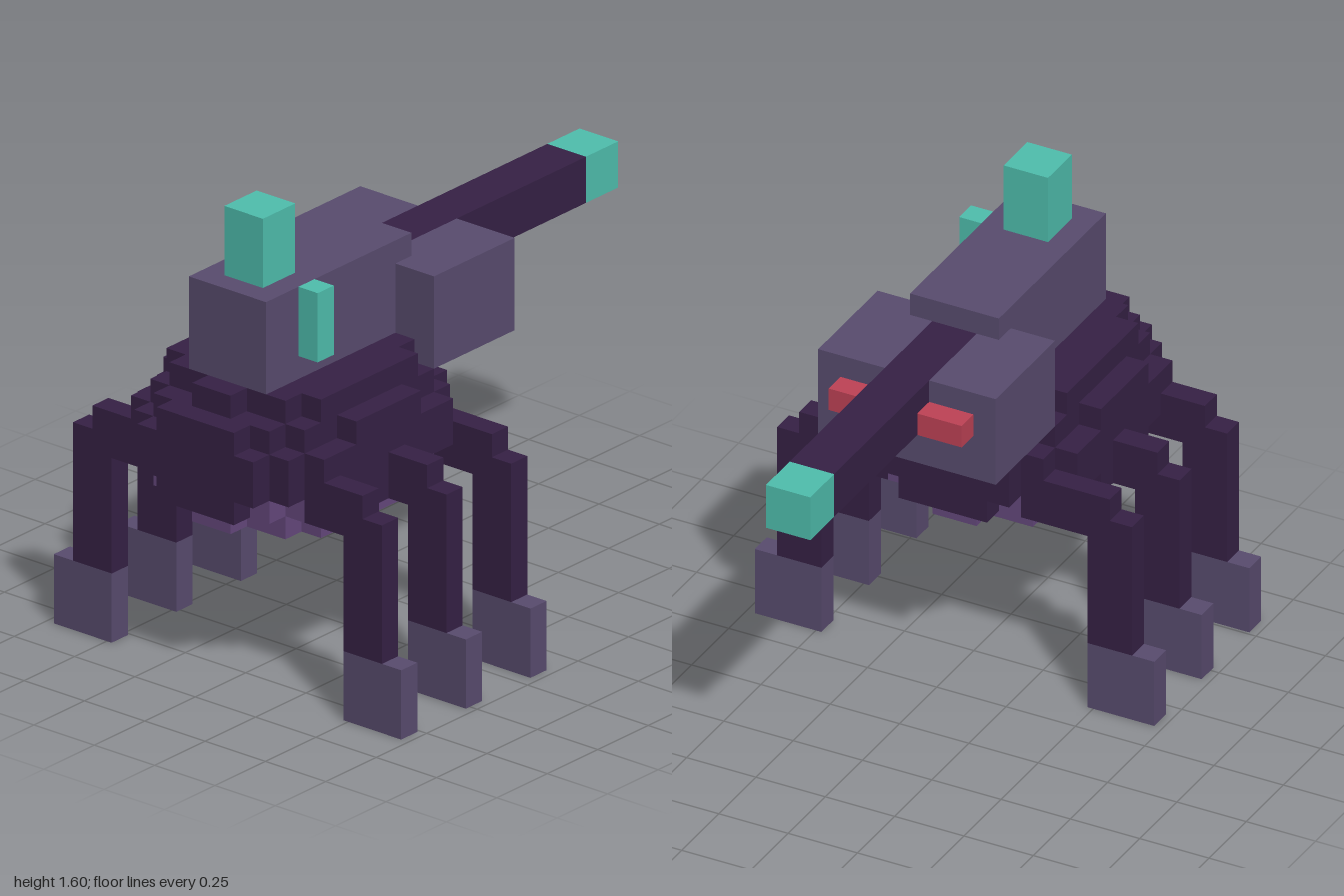
import * as THREE from 'three';

const mat = (name, color) => {
  const m = new THREE.MeshStandardMaterial({ color });
  m.name = name;
  return m;
};

export function createModel() {
  const model = new THREE.Group();
  model.name = 'blockWalker';
  const dark = mat('dark plum', 0x362145);
  const grey = mat('slate violet', 0x594c6f);
  const purple = mat('belly purple', 0x65487d);
  const teal = mat('teal', 0x4fbfae);
  const red = mat('red', 0xbf4256);

  // Box given by its minimum and maximum on each axis
  function box(parent, name, material, [x0, x1], [y0, y1], [z0, z1]) {
    const mesh = new THREE.Mesh(new THREE.BoxGeometry(x1 - x0, y1 - y0, z1 - z0), material);
    mesh.position.set((x0 + x1) / 2, (y0 + y1) / 2, (z0 + z1) / 2);
    mesh.name = name;
    parent.add(mesh);
  }
  function group(name) {
    const g = new THREE.Group();
    g.name = name;
    model.add(g);
    return g;
  }

  // Stepped oval body: each layer lists half widths, in blocks, from the middle row outwards
  const U = 0.08, bodyZ = 0.52;
  const body = group('body');
  function layer(name, material, y0, y1, widths) {
    let start = 0;
    widths.forEach((w, i) => {
      if (widths[i + 1] === w) return;
      const x = [-w * U, w * U], y = [y0, y1], a = start * U, b = (i + 1) * U;
      if (start === 0) {
        box(body, name, material, x, y, [bodyZ - b, bodyZ + b]);
      } else {
        box(body, name, material, x, y, [bodyZ + a, bodyZ + b]);
        box(body, name, material, x, y, [bodyZ - b, bodyZ - a]);
      }
      start = i + 1;
    });
  }
  layer('bellyBottom', purple, 0.56, 0.64, [4, 4, 4, 3, 1]);
  layer('bellyUpper', purple, 0.64, 0.72, [4, 4, 4, 4, 3]);
  layer('bodyMiddle', dark, 0.72, 0.88, [5, 5, 5, 5, 4, 3]);
  layer('bodyShoulder', dark, 0.88, 0.96, [5, 5, 4, 4, 3, 2]);
  layer('bodyTop', dark, 0.96, 1.04, [4, 4, 4, 3, 1]);

  // Dark lower rim around the belly
  for (const s of [-1, 1]) {
    const span = (a, b) => (s > 0 ? [a, b] : [-b, -a]);
    box(body, 'sideRim', dark, span(0.32, 0.4), [0.64, 0.72], [0.36, 0.68]);
    const [e0, e1] = span(0.4, 0.48);
    box(body, 'endRim', dark, [-0.16, 0.16], [0.64, 0.72], [bodyZ + e0, bodyZ + e1]);
  }

  // Six legs: back, middle and front pairs
  [[0.12, 0.24], [0.44, 0.32], [0.76, 0.32]].forEach(([z, hip]) => {
    for (const s of [-1, 1]) {
      const leg = group(s > 0 ? 'leftLeg' : 'rightLeg');
      const span = (a, b) => (s > 0 ? [a, b] : [-b, -a]);
      const depth = [z, z + U];
      box(leg, 'thigh', dark, span(hip, 0.56), [0.64, 0.8], depth);
      box(leg, 'knee', dark, span(0.56, 0.64), [0.64, 0.72], depth);
      box(leg, 'shin', dark, span(0.48, 0.64), [0.24, 0.64], depth);
      box(leg, 'foot', grey, span(0.48, 0.72), [0, 0.24], depth);
    }
  });

  // Turret: housing, and a rear block with a slot for the barrel
  const turret = group('turret');
  box(turret, 'housing', grey, [-0.16, 0.16], [1.04, 1.36], [0.12, 0.84]);
  box(turret, 'rearBlockBase', grey, [-0.32, 0.32], [0.96, 1.12], [-0.2, 0.2]);
  for (const s of [-1, 1]) {
    const span = (a, b) => (s > 0 ? [a, b] : [-b, -a]);
    box(turret, 'rearBlockCheek', grey, span(0.08, 0.32), [1.12, 1.28], [-0.2, 0.2]);
    box(turret, 'eye', red, span(0.08, 0.24), [1.12, 1.2], [-0.28, -0.2]);
  }
  box(turret, 'barrel', dark, [-0.08, 0.08], [1.12, 1.28], [-0.84, 0.12]);
  box(turret, 'barrelTip', teal, [-0.08, 0.08], [1.12, 1.28], [-1, -0.84]);

  // Glowing canisters
  box(turret, 'topCanister', teal, [-0.08, 0.08], [1.36, 1.6], [0.6, 0.76]);
  box(turret, 'sideCanister', teal, [0.16, 0.24], [1.12, 1.36], [0.6, 0.68]);

  return model;
}
